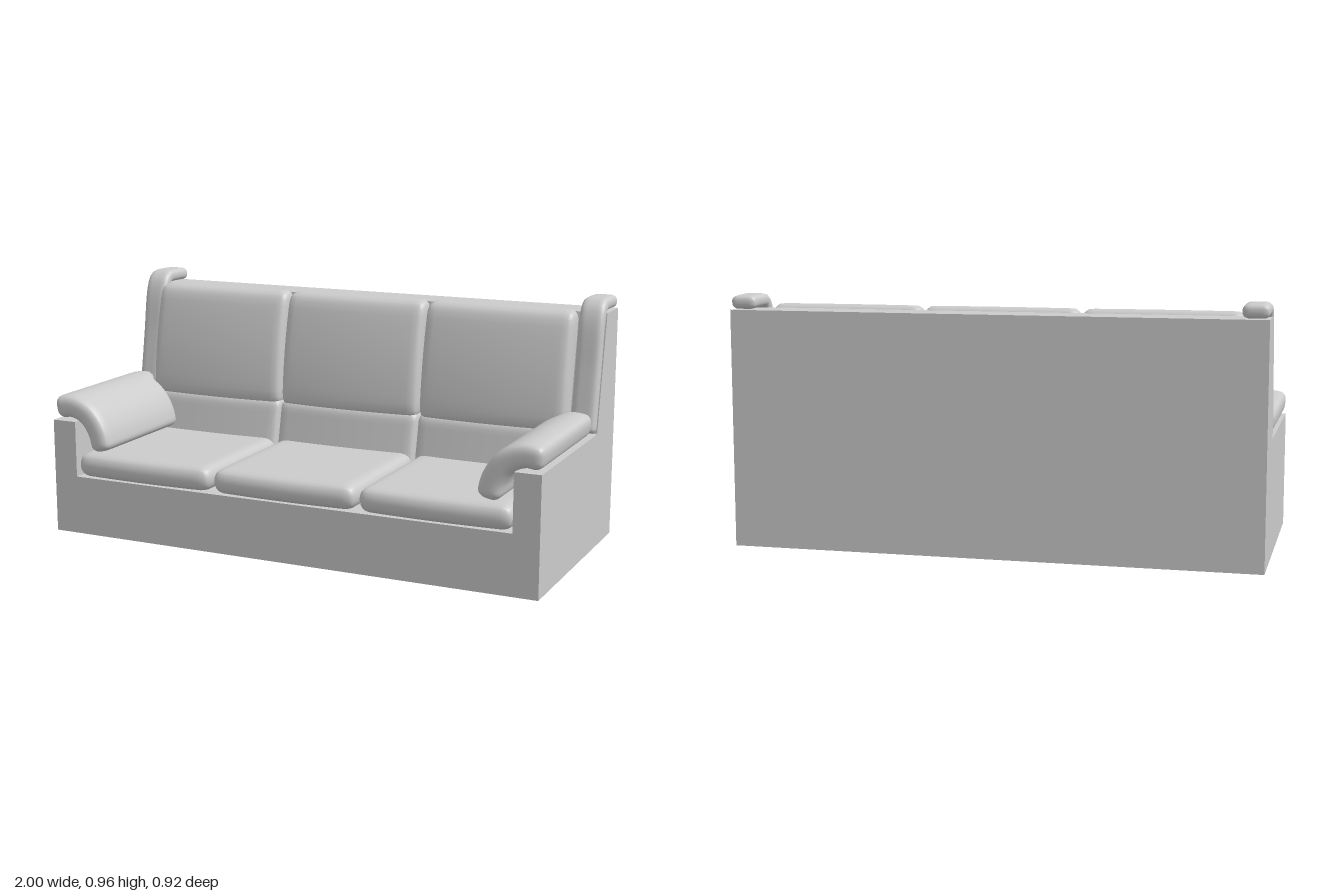
import * as THREE from 'three';
import { mergeVertices } from 'three/addons/utils/BufferGeometryUtils.js';

const material = new THREE.MeshStandardMaterial({ color: 0xcccccc });

// Rounded, finely divided box whose vertices can be moved by a rule
function softBox(size, radii, rule, segments = [20, 14, 20]) {
  const geo = new THREE.BoxGeometry(2, 2, 2, ...segments);
  geo.deleteAttribute('uv');
  geo.deleteAttribute('normal');
  const pos = geo.attributes.position;
  const p = new THREE.Vector3();
  const q = new THREE.Vector3();
  for (let i = 0; i < pos.count; i++) {
    p.fromBufferAttribute(pos, i);
    const inner = [];
    'xyz'.split('').forEach((axis, k) => {
      const half = size[k] / 2;
      const u = p.getComponent(k);
      const v = Math.sign(u) * (1 - Math.pow(1 - Math.abs(u), 1.6)) * half; // denser at the edges
      const limit = half - radii[k];
      inner[k] = THREE.MathUtils.clamp(v, -limit, limit);
      q.setComponent(k, (v - inner[k]) / radii[k]);
    });
    q.normalize();
    p.set(...inner.map((v, k) => v + q.getComponent(k) * radii[k]));
    rule(p);
    pos.setXYZ(i, p.x, p.y, p.z);
  }
  const merged = mergeVertices(geo, 1e-5);
  merged.computeVertexNormals();
  return merged;
}

// Rule that bends local x along a curve in the xy plane, y being its thickness
function bendAlong(points, length) {
  const curve = new THREE.CatmullRomCurve3(points.map(([x, y]) => new THREE.Vector3(x, y, 0)));
  return (p) => {
    const t = THREE.MathUtils.clamp(p.x / length + 0.5, 0, 1);
    const c = curve.getPointAt(t);
    const d = curve.getTangentAt(t);
    p.set(c.x - d.y * p.y, c.y + d.x * p.y, p.z);
  };
}

// Side profile, given as [distance to the back, height], drawn out across x
function slab(profile, x0, x1) {
  const shape = new THREE.Shape(profile.map(([a, y]) => new THREE.Vector2(a, y)));
  const geo = new THREE.ExtrudeGeometry(shape, { depth: x1 - x0, bevelEnabled: false });
  geo.rotateY(Math.PI / 2);
  geo.translate(x0, 0, 0);
  return geo;
}

export function createModel() {
  const group = new THREE.Group();
  const add = (name, geo) => {
    const mesh = new THREE.Mesh(geo, material);
    mesh.name = name;
    group.add(mesh);
    return mesh;
  };

  // Plain frame: seat base with back, and a panel at each side
  add('frame', slab([[-0.44, 0], [0.46, 0], [0.46, 0.9], [0.31, 0.9], [0.19, 0.23], [-0.44, 0.23]], -0.9, 0.9));
  const panel = [[-0.44, 0], [0.46, 0], [0.46, 0.9], [0.31, 0.9], [0.23, 0.45], [-0.44, 0.45]];
  add('leftSidePanel', slab(panel, 0.9, 1));
  add('rightSidePanel', slab(panel, -1, -0.9));

  // Three places, each with seat, lumbar and back cushions
  const crown = (x) => 1 - Math.pow(Math.abs(x) / 0.3, 2);
  const seat = softBox([0.59, 0.095, 0.64], [0.04, 0.0475, 0.04], (p) => {
    if (p.z > 0) p.z += 0.014 * crown(p.x) * (p.z / 0.32);
    p.y += 0.278;
    p.z += 0.122;
  });
  const lumbar = softBox([0.597, 0.23, 0.09], [0.025, 0.03, 0.03], (p) => {
    if (p.z > 0) p.z += 0.012 * crown(p.x);
    p.y += 0.365;
    p.z -= 0.178 + 0.22 * (p.y - 0.45);
  });
  const back = softBox([0.597, 0.455, 0.095], [0.03, 0.045, 0.04], (p) => {
    const v = p.y / 0.2275;
    if (p.z > 0) p.z += 0.014 * crown(p.x) + 0.016 * (1 - v * v);
    p.y += 0.685;
    p.z -= 0.18 + 0.178 * (p.y - 0.45);
  });
  for (const x of [-0.602, 0, 0.602]) {
    add('seatCushion', seat).position.x = x;
    add('lumbarCushion', lumbar).position.x = x;
    add('backCushion', back).position.x = x;
  }

  // Padded arms, rolling inward over the panels; the inner half is shorter at the back
  const armBend = bendAlong([[0.797, 0.335], [0.815, 0.41], [0.86, 0.474], [0.93, 0.504], [1, 0.494]], 0.29);
  const arm = softBox([0.29, 0.09, 0.6], [0.03, 0.036, 0.035], (p) => {
    armBend(p);
    if (p.z < 0) p.z *= 1 - 0.2 * (1 - THREE.MathUtils.smoothstep(p.x, 0.86, 0.92));
    p.z += 0.135;
  }, [28, 12, 20]);
  add('leftArmPad', arm);
  add('rightArmPad', arm).scale.x = -1;

  // Pads running up the panel fronts and over their tops
  const wing = softBox([0.66, 0.05, 0.098], [0.02, 0.022, 0.025], bendAlong(
    [[0.208, 0.455], [0.25, 0.69], [0.284, 0.88], [0.312, 0.925], [0.36, 0.93], [0.457, 0.927]], 0.66), [40, 10, 12]);
  wing.rotateY(Math.PI / 2);
  add('leftWingPad', wing).position.x = 0.951;
  add('rightWingPad', wing).position.x = -0.951;

  return group;
}
